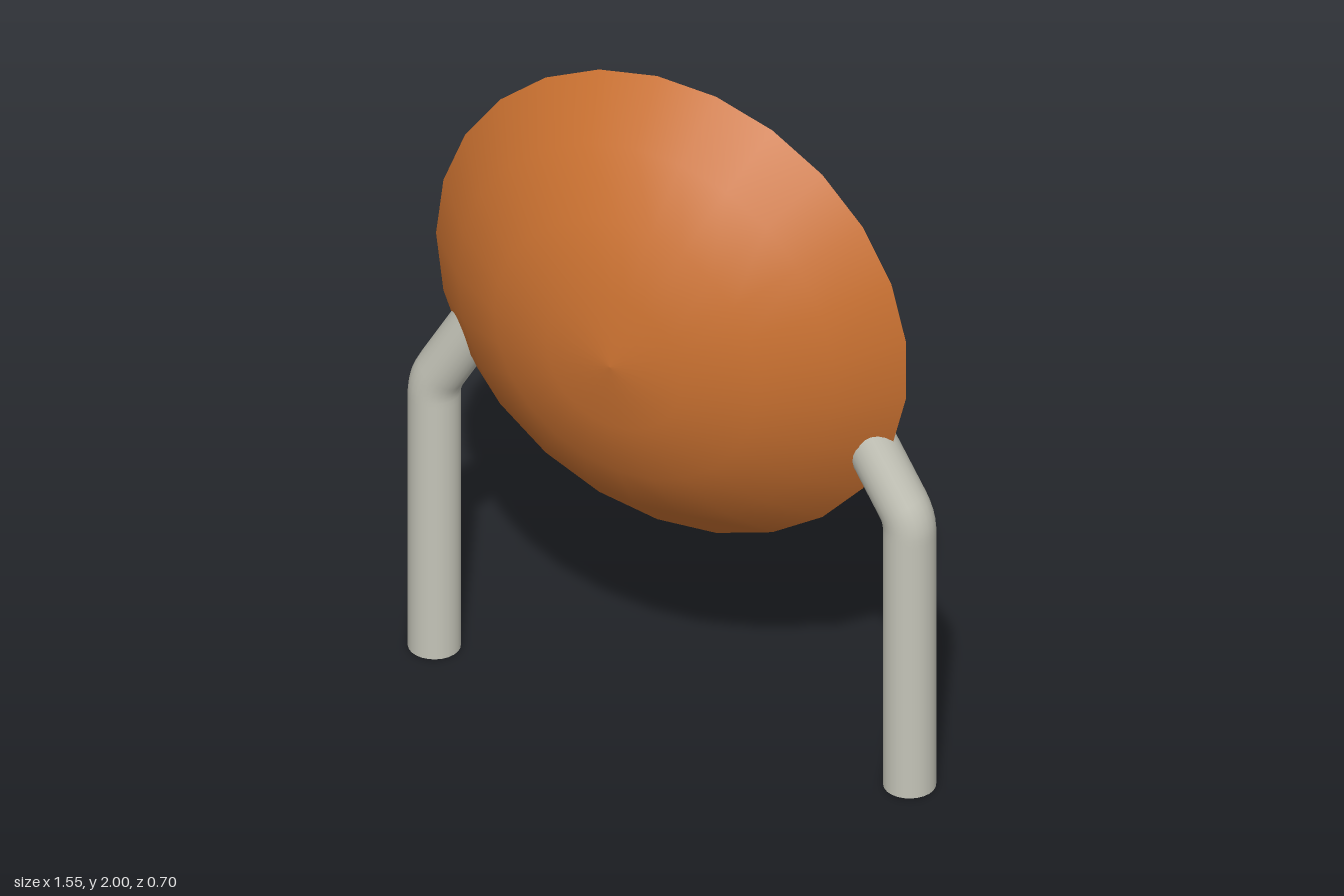
import * as THREE from 'three';

const LENS_R = 0.7, LENS_Y = 1.3, SPHERE_R = 0.875; // lens = two spherical caps
const LEG_R = 0.07, LEG_X = 0.705;

// One dome of the lens, bulging along +z
function domeGeometry() {
  const half = Math.asin(LENS_R / SPHERE_R), rings = 4, profile = [];
  const base = SPHERE_R * Math.cos(half);
  for (let i = 0; i <= rings; i++) {
    const a = half * (1 - i / rings);
    profile.push(new THREE.Vector2(SPHERE_R * Math.sin(a), SPHERE_R * Math.cos(a) - base));
  }
  return new THREE.LatheGeometry(profile, 25, -Math.PI / 2).rotateX(Math.PI / 2);
}

// Straight wire that bends 30 degrees inward and runs into the lens
function makeLeg(side, material) {
  const leg = new THREE.Group();
  const p = (x, y) => new THREE.Vector3(side * x, y, 0);
  const path = new THREE.CurvePath();
  path.add(new THREE.LineCurve3(p(LEG_X, 0), p(LEG_X, 0.8)));
  path.add(new THREE.QuadraticBezierCurve3(p(LEG_X, 0.8), p(LEG_X, 0.84), p(LEG_X - 0.02, 0.875)));
  path.add(new THREE.LineCurve3(p(LEG_X - 0.02, 0.875), p(LEG_X - 0.195, 1.178)));
  const wire = new THREE.Mesh(new THREE.TubeGeometry(path, 64, LEG_R, 24), material);
  wire.name = 'legWire';
  const foot = new THREE.Mesh(new THREE.CircleGeometry(LEG_R, 24).rotateX(Math.PI / 2), material);
  foot.name = 'legEnd';
  foot.position.x = side * LEG_X;
  leg.add(wire, foot);
  return leg;
}

export function createModel() {
  const model = new THREE.Group();
  const orange = new THREE.MeshStandardMaterial({ color: 0xc87030 });
  const metal = new THREE.MeshStandardMaterial({ color: 0xc4c4b8 });

  // Lens-shaped body with a sharp rim
  const body = new THREE.Group();
  body.name = 'discBody';
  body.position.y = LENS_Y;
  for (const [name, turn] of [['frontDome', 0], ['backDome', Math.PI]]) {
    const dome = new THREE.Mesh(domeGeometry(), orange);
    dome.name = name;
    dome.rotation.x = turn;
    body.add(dome);
  }
  model.add(body);

  // Wire legs
  for (const [name, side] of [['leftLeg', 1], ['rightLeg', -1]]) {
    const leg = makeLeg(side, metal);
    leg.name = name;
    model.add(leg);
  }
  return model;
}
